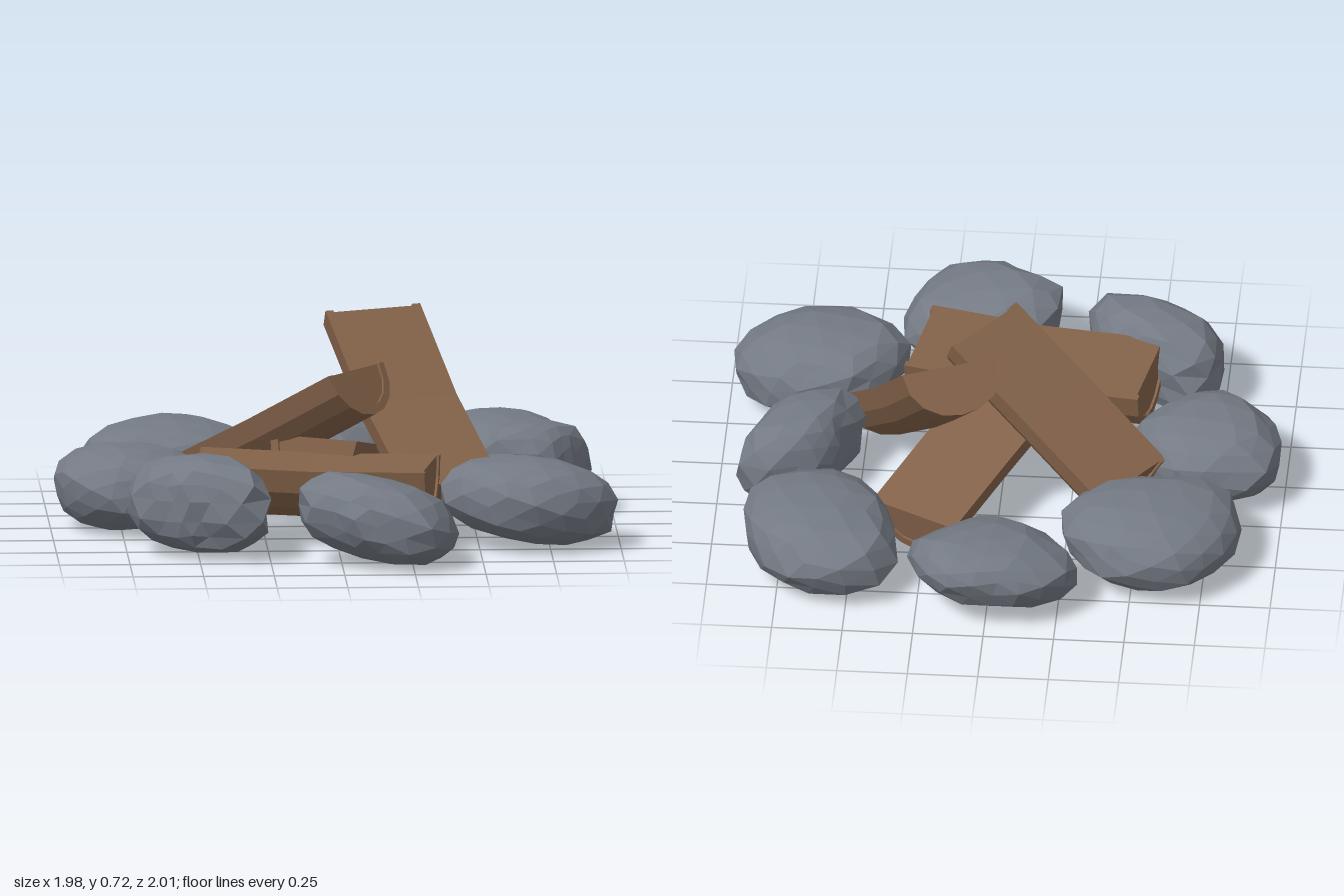
import * as THREE from 'three';

const wood = new THREE.MeshStandardMaterial({ color: 0x84634a });
wood.name = 'brown wood';
const stone = new THREE.MeshStandardMaterial({ color: 0x747a84 });
stone.name = 'grey stone';

const SIDES = 8;
const RIM = 0.009;

// Points of a half-round arc hanging below y = 0, from right to left
function arc(halfWidth, depth) {
  const points = [];
  for (let i = 0; i <= SIDES; i++) {
    const t = (i / SIDES) * Math.PI;
    points.push(new THREE.Vector2(halfWidth * Math.cos(t), -depth * Math.pow(Math.sin(t), 0.9)));
  }
  return points;
}

// Extrudes a section along z, centred
function prism(points, length, steps) {
  const geo = new THREE.ExtrudeGeometry(new THREE.Shape(points), { depth: length, steps, bevelEnabled: false });
  return geo.translate(0, 0, -length / 2);
}

// Split log: flat face on top, bark rim standing proud of the cut ends
function splitLog({ name, low, high, width, depth, bend }) {
  const a = new THREE.Vector3(...low), b = new THREE.Vector3(...high);
  const length = a.distanceTo(b);
  const log = new THREE.Group();
  log.name = name;

  const outer = arc(width / 2, depth);
  const inner = arc(width / 2 - 0.03, depth - 0.03);

  // Body, bent slightly halfway along
  const geo = prism(outer, length - 2 * RIM, 2);
  const p = geo.attributes.position;
  for (let i = 0; i < p.count; i++) {
    if (Math.abs(p.getZ(i)) < 0.01) {
      p.setX(i, p.getX(i) + bend);
      p.setY(i, p.getY(i) - Math.abs(bend));
    }
  }
  geo.computeVertexNormals();
  const body = new THREE.Mesh(geo, wood);
  body.name = name + 'Body';
  log.add(body);

  // Bark rims at both ends
  for (const end of [-1, 1]) {
    const rim = new THREE.Mesh(prism([...outer, ...inner.slice().reverse()], RIM, 1), wood);
    rim.name = name + 'Rim';
    rim.position.z = end * (length - RIM) / 2;
    log.add(rim);
  }

  // Lay the log along its axis with the ends of the flat face level
  const along = b.clone().sub(a).normalize();
  const side = new THREE.Vector3(0, 1, 0).cross(along).normalize();
  const up = along.clone().cross(side);
  log.quaternion.setFromRotationMatrix(new THREE.Matrix4().makeBasis(side, up, along));
  log.position.copy(a).add(b).multiplyScalar(0.5);
  return log;
}

// Faceted boulder: radii give its plan outline every 45 degrees, from +x towards +z.
// lean tilts it along x, shear pushes its top along z, round = 1 is an ellipsoid, less is boxier.
function boulder({ name, x, z, bottom, top, radii, lean = 0, shear = 0, round = 0.84 }, seed) {
  const geo = new THREE.IcosahedronGeometry(1, 2);
  geo.rotateX(seed * 1.3);
  geo.rotateZ(seed * 0.7);
  const p = geo.attributes.position;
  const v = new THREE.Vector3();
  const mid = (bottom + top) / 2, half = (top - bottom) / 2;
  for (let i = 0; i < p.count; i++) {
    v.fromBufferAttribute(p, i);
    const turn = ((Math.atan2(v.z, v.x) / (Math.PI / 4)) + 8) % 8;
    const k = Math.floor(turn) % 8, f = turn - Math.floor(turn);
    const e = f * f * (3 - 2 * f);
    const plan = radii[k] * (1 - e) + radii[(k + 1) % 8] * e;
    const h = Math.hypot(v.x, v.z);
    // lumpy surface
    const lump = 1 + 0.04 * Math.sin(4.3 * v.x + seed * 2.1) * Math.cos(3.7 * v.z - seed)
      + 0.03 * Math.sin(7.1 * v.y + 5.3 * v.x + seed * 3.3);
    const spread = h > 1e-6 ? (plan * Math.pow(h, round) * lump * 1.01) / h : 0;
    const px = v.x * spread, pz = v.z * spread;
    const y = Math.sign(v.y) * Math.pow(Math.abs(v.y), 0.9) * half * (0.5 + lump / 2) + lean * px;
    p.setXYZ(i, px, Math.max(0.005, mid + y), pz + shear * v.y);
  }
  geo.computeVertexNormals();
  const mesh = new THREE.Mesh(geo, stone);
  mesh.name = name;
  mesh.position.set(x, 0, z);
  return mesh;
}

const LOGS = [
  { name: 'frontLog', low: [-0.505, 0.31, 0.26], high: [0.335, 0.305, 0.42], width: 0.388, depth: 0.195, bend: 0.01 },
  { name: 'leftLog', low: [-0.485, 0.222, -0.308], high: [0.077, 0.59, 0.098], width: 0.355, depth: 0.175, bend: -0.006 },
  { name: 'rightLog', low: [0.42, 0.2, 0.255], high: [0.157, 0.73, -0.37], width: 0.37, depth: 0.178, bend: 0.012 },
  { name: 'backLog', low: [0.287, 0.195, -0.54], high: [-0.075, 0.352, 0.14], width: 0.34, depth: 0.17, bend: 0.008 },
];

const BOULDERS = [
  { name: 'backBoulder', x: -0.02, z: -0.77, bottom: 0.03, top: 0.31, radii: [0.3, 0.22, 0.23, 0.25, 0.31, 0.25, 0.22, 0.26], lean: 0.1, shear: -0.06 },
  { name: 'backRightBoulder', x: 0.6, z: -0.6, bottom: 0.01, top: 0.31, radii: [0.28, 0.31, 0.31, 0.24, 0.25, 0.34, 0.31, 0.28] },
  { name: 'rightBoulder', x: 0.71, z: -0.12, bottom: 0.015, top: 0.36, radii: [0.16, 0.15, 0.18, 0.29, 0.15, 0.16, 0.2, 0.28], round: 0.65 },
  { name: 'frontRightBoulder', x: 0.68, z: 0.43, bottom: 0.025, top: 0.325, radii: [0.31, 0.26, 0.24, 0.25, 0.31, 0.27, 0.23, 0.28], lean: -0.1 },
  { name: 'frontBoulder', x: 0.12, z: 0.77, bottom: 0.025, top: 0.32, radii: [0.29, 0.3, 0.21, 0.2, 0.28, 0.27, 0.23, 0.26], lean: -0.18 },
  { name: 'frontLeftBoulder', x: -0.49, z: 0.55, bottom: 0.02, top: 0.365, radii: [0.21, 0.3, 0.16, 0.16, 0.24, 0.3, 0.15, 0.13], round: 0.68 },
  { name: 'leftBoulder', x: -0.74, z: 0.01, bottom: 0.01, top: 0.315, radii: [0.3, 0.26, 0.26, 0.23, 0.25, 0.27, 0.25, 0.25] },
  { name: 'backLeftBoulder', x: -0.56, z: -0.54, bottom: 0.02, top: 0.31, radii: [0.32, 0.28, 0.27, 0.34, 0.31, 0.29, 0.27, 0.28] },
];

export function createModel() {
  const model = new THREE.Group();
  model.name = 'campfire';

  // Stacked firewood
  const firewood = new THREE.Group();
  firewood.name = 'firewood';
  LOGS.forEach((spec) => firewood.add(splitLog(spec)));

  // Ring of stones
  const ring = new THREE.Group();
  ring.name = 'stoneRing';
  BOULDERS.forEach((spec, i) => ring.add(boulder(spec, i + 1)));

  model.add(firewood, ring);
  return model;
}
